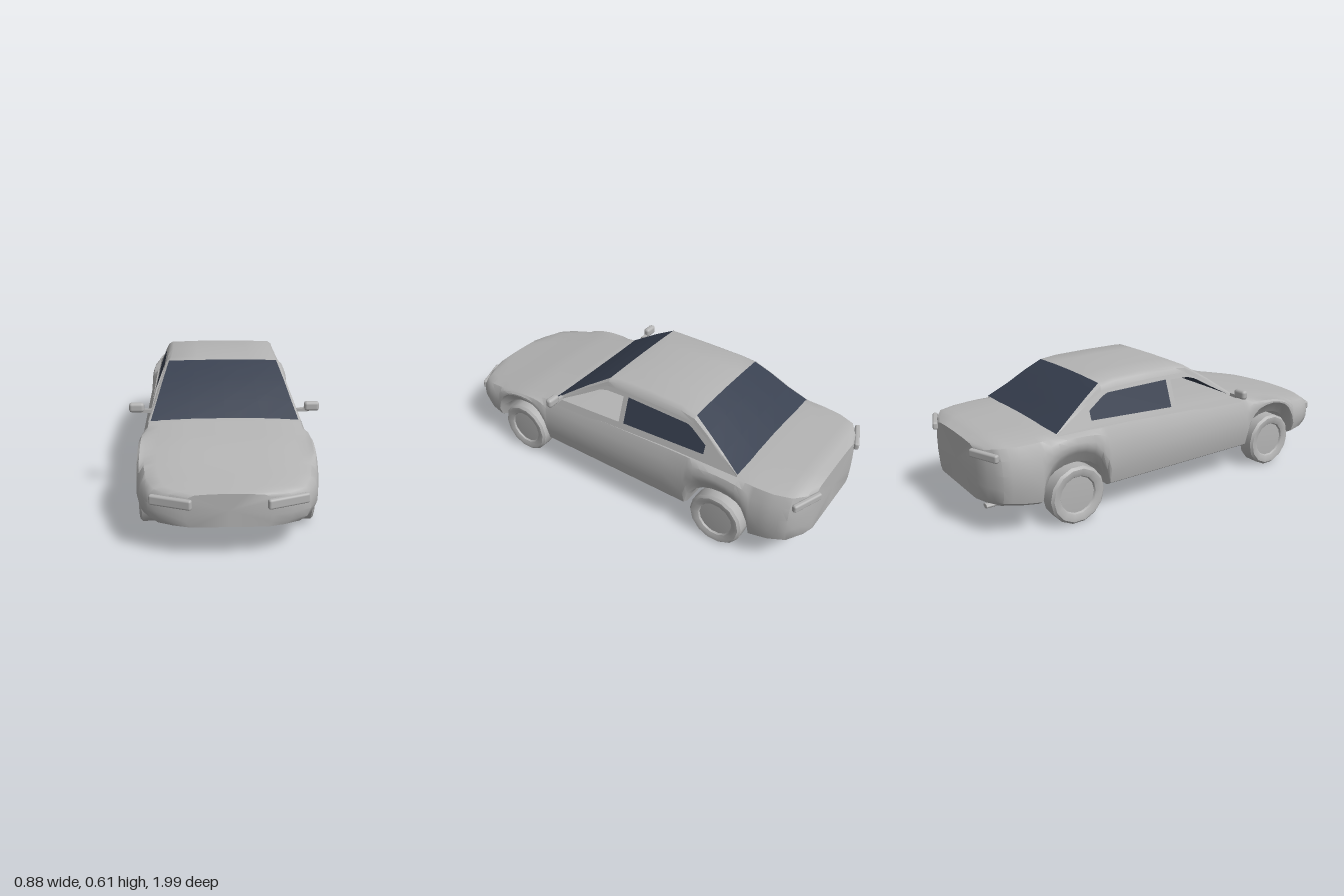
import * as THREE from 'three';
import { toCreasedNormals } from 'three/addons/utils/BufferGeometryUtils.js';
import { RoundedBoxGeometry } from 'three/addons/geometries/RoundedBoxGeometry.js';

const paint = new THREE.MeshStandardMaterial({ color: 0xb4b4b4, side: THREE.DoubleSide });
paint.name = 'grey paint';
const glass = new THREE.MeshStandardMaterial({ color: 0x363e4e, side: THREE.DoubleSide });
glass.name = 'dark glass';

// Piecewise-linear lookup in a table of [key, value], keys descending
function lookup(table, k) {
  for (let i = 1; i < table.length; i++) {
    const [k0, v0] = table[i - 1], [k1, v1] = table[i];
    if (k >= k1) return v0 + (v1 - v0) * Math.min(1, Math.max(0, (k0 - k) / (k0 - k1)));
  }
  return table[table.length - 1][1];
}

// Skin a list of equal-length cross-sections of [x, y, z]
function loft(sections, crease = 0.65) {
  const n = sections[0].length, index = [];
  for (let i = 0; i < sections.length - 1; i++) {
    for (let j = 0; j < n - 1; j++) {
      const a = i * n + j, b = a + 1, d = a + n, c = d + 1;
      index.push(a, d, b, b, d, c);
    }
  }
  const geo = new THREE.BufferGeometry();
  geo.setAttribute('position', new THREE.Float32BufferAttribute(sections.flat(2), 3));
  geo.setIndex(index);
  return toCreasedNormals(geo, crease);
}

const mirrorHalf = (half) => [...half, ...half.slice(0, -1).reverse().map(([x, y, z]) => [-x, y, z])];

// Lower body: half width, top and bottom heights along z
const widths = [[0.975, 0.175], [0.95, 0.255], [0.915, 0.325], [0.84, 0.363], [0.76, 0.378], [0.6, 0.38],
  [-0.76, 0.38], [-0.84, 0.37], [-0.915, 0.34], [-0.955, 0.275], [-0.975, 0.21]];
const tops = [[0.975, 0.283], [0.915, 0.295], [0.8, 0.318], [0.6, 0.363], [0.4, 0.394], [0, 0.408],
  [-0.3, 0.42], [-0.7, 0.426], [-0.915, 0.42], [-0.975, 0.403]];
const bottoms = [[0.975, 0.145], [0.76, 0.128], [-0.75, 0.128], [-0.975, 0.16]];
const wheelZ = [0.59, -0.58];
// Wheel arch: [distance from axle, inner height, outer lip height]
const arch = [[0.17, 0.13, 0.15], [0.155, 0.18, 0.215], [0.125, 0.232, 0.275], [0.09, 0.258, 0.308],
  [0.045, 0.274, 0.326], [0, 0.278, 0.332]];

function bodySection(z, lip) {
  const w = lookup(widths, z), t = lookup(tops, z);
  const b = lip ? lip[1] : lookup(bottoms, z);
  const o = lip ? lip[2] : b + 0.02;
  const h = (f) => o + (t - o) * f;
  return mirrorHalf([[0, b, z], [0.87 * w, b, z], [0.96 * w, o, z], [w, h(0.25), z], [w, h(0.5), z],
    [0.975 * w, h(0.76), z], [0.915 * w, t - 0.012, z], [0.78 * w, t - 0.002, z], [0.4 * w, t + 0.002, z],
    [0, t + 0.003, z]].map((p) => p)).concat([[0, b, z]]).filter((p, i) => i !== 18);
}

function buildBody() {
  const stations = [0.975, 0.95, 0.935, 0.915, 0.88, 0.84, 0.8, 0.4, 0.2, 0, -0.15, -0.3,
    -0.8, -0.84, -0.88, -0.915, -0.935, -0.955, -0.975].map((z) => ({ z }));
  for (const c of wheelZ) {
    for (const s of [1, -1]) {
      stations.push({ z: c + s * 0.173 });
      for (const lip of arch) if (s > 0 || lip[0] > 0) stations.push({ z: c + s * lip[0], lip });
    }
  }
  stations.sort((p, q) => q.z - p.z);
  const rings = stations.map((s) => bodySection(s.z, s.lip));
  // Flat nose and tail caps
  const cap = (ring, y) => ring.map((p) => [0, y, p[2]]);
  return loft([cap(rings[0], 0.215), ...rings, cap(rings[rings.length - 1], 0.28)]);
}

// Cabin: rows of [z, height, half width of the top panel, drop to the side panel, crown]
const windscreenRows = [[0.39, 0.39, 0.338, 0.005, 0], [0.3, 0.453, 0.315, 0.012, 0.004],
  [0.2, 0.522, 0.291, 0.022, 0.006], [0.08, 0.597, 0.262, 0.034, 0.004]];
const roofRows = [windscreenRows[3], [0.03, 0.602, 0.252, 0.036, 0.006], [-0.15, 0.604, 0.248, 0.036, 0.007],
  [-0.32, 0.6, 0.252, 0.036, 0.007], [-0.4, 0.588, 0.262, 0.032, 0.006]];
const rearRows = [roofRows[4], [-0.48, 0.541, 0.284, 0.024, 0.007], [-0.57, 0.481, 0.306, 0.015, 0.005],
  [-0.66, 0.426, 0.336, 0.008, 0]];
const sideX = (y) => 0.345 - (y - 0.4) * 0.375;

function cabinSection([z, y, g, d, c]) {
  const e = sideX(y - d);
  return mirrorHalf([[e, y - d, z], [(e + g) / 2 + d * 0.15, y - d * 0.35, z], [g, y, z],
    [g / 2, y + c * 0.75, z], [0, y + c, z]]);
}

// Flat panel drawn in (z, y) and leaned onto the cabin side
function sidePanel(outline, holes, side) {
  const toPath = (pts) => pts.map(([z, y]) => new THREE.Vector2(z, y));
  const shape = new THREE.Shape(toPath(outline));
  for (const h of holes) shape.holes.push(new THREE.Path(toPath(h)));
  const geo = new THREE.ShapeGeometry(shape), p = geo.attributes.position;
  for (let i = 0; i < p.count; i++) p.setXYZ(i, side * sideX(p.getY(i)), p.getY(i), p.getX(i));
  geo.computeVertexNormals();
  return geo;
}

export function createModel() {
  const car = new THREE.Group();
  car.name = 'car';
  const add = (name, geo, mat, x = 0, y = 0, z = 0) => {
    const mesh = new THREE.Mesh(geo, mat);
    mesh.name = name;
    mesh.position.set(x, y, z);
    car.add(mesh);
    return mesh;
  };

  add('body', buildBody(), paint);

  // Roof, windscreens and pillars
  add('roof', loft(roofRows.map(cabinSection)), paint);
  for (const [name, rows] of [['windscreen', windscreenRows], ['rearWindow', rearRows]]) {
    const rings = rows.map(cabinSection);
    add(name, loft(rings.map((r) => r.slice(2, 7))), glass);
    add(name + 'LeftPillar', loft(rings.map((r) => r.slice(0, 3))), paint);
    add(name + 'RightPillar', loft(rings.map((r) => r.slice(6))), paint);
  }

  // Cabin sides: open front windows, glazed rear windows
  const topEdge = [...windscreenRows, ...roofRows.slice(1), ...rearRows.slice(1)].map(([z, y, , d]) => [z, y - d]);
  const outline = [...topEdge, [-0.66, 0.4], [0.39, 0.375]];
  const frontOpening = [[0.345, 0.408], [0.2, 0.487], [0.125, 0.53], [0.085, 0.542], [-0.016, 0.546], [-0.016, 0.425]];
  const rearPane = [[-0.043, 0.427], [-0.043, 0.55], [-0.37, 0.546], [-0.4, 0.535], [-0.48, 0.488], [-0.48, 0.447]];

  // Wheel profile, turned about the axle
  const wheelProfile = [[0, -0.036], [0.085, -0.032], [0.09, -0.04], [0.108, -0.047], [0.124, -0.047], [0.135, -0.036],
    [0.135, 0.036], [0.124, 0.047], [0.108, 0.047], [0.09, 0.04], [0.085, 0.032], [0, 0.036]];
  const wheelGeo = toCreasedNormals(
    new THREE.LatheGeometry(wheelProfile.map(([r, h]) => new THREE.Vector2(r, h)), 14).rotateZ(Math.PI / 2), 0.5);

  for (const [label, s] of [['left', 1], ['right', -1]]) {
    add(label + 'CabinSide', sidePanel(outline, [frontOpening, rearPane], s), paint);
    add(label + 'RearSideGlass', sidePanel(rearPane, [], s), glass);
    add(label + 'FrontWheel', wheelGeo, paint, s * 0.328, 0.135, wheelZ[0]);
    add(label + 'RearWheel', wheelGeo, paint, s * 0.328, 0.135, wheelZ[1]);

    // Lamps follow the rounded corners
    add(label + 'Headlight', new RoundedBoxGeometry(0.18, 0.042, 0.024, 2, 0.009), paint, s * 0.232, 0.246, 0.957)
      .rotation.y = s * 0.375;
    add(label + 'TailLight', new RoundedBoxGeometry(0.155, 0.036, 0.024, 2, 0.009), paint, s * 0.265, 0.376, -0.96)
      .rotation.y = -s * 0.37;

    // Door mirror on a short arm
    add(label + 'MirrorArm', new THREE.BoxGeometry(0.05, 0.016, 0.016), paint, s * 0.36, 0.422, 0.335);
    add(label + 'Mirror', new RoundedBoxGeometry(0.07, 0.045, 0.034, 2, 0.014), paint, s * 0.404, 0.439, 0.335);
  }

  // Exhaust pipe
  const exhaust = new THREE.CylinderGeometry(0.01, 0.01, 0.06, 10).rotateX(Math.PI / 2).scale(1.8, 1, 1);
  add('exhaust', exhaust, paint, -0.23, 0.136, -0.925);

  return car;
}
